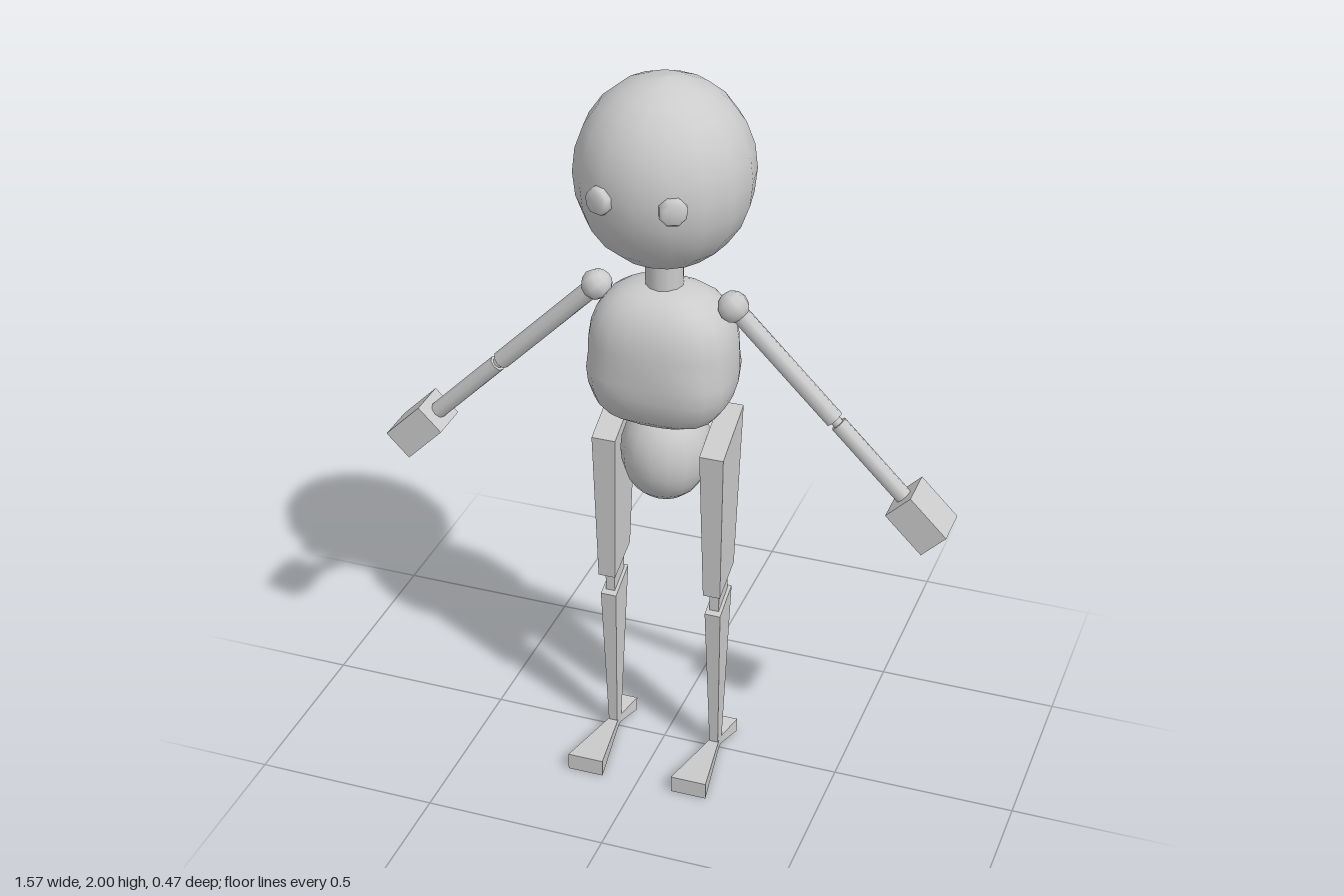
import * as THREE from 'three';

const smooth = new THREE.MeshStandardMaterial({ color: 0xcccccc });
const flat = new THREE.MeshStandardMaterial({ color: 0xcccccc, flatShading: true });

function add(parent, name, geometry, material, x = 0, y = 0, z = 0) {
  const mesh = new THREE.Mesh(geometry, material);
  mesh.name = name;
  mesh.position.set(x, y, z);
  parent.add(mesh);
  return mesh;
}

// Ellipsoid whose exponents above and below the middle set how boxy it is
function boxyBall(rx, ry, rz, pTop, pBottom, segments = 16, rings = 12) {
  const geo = new THREE.SphereGeometry(1, segments, rings);
  const pos = geo.attributes.position;
  const v = new THREE.Vector3();
  for (let i = 0; i < pos.count; i++) {
    v.fromBufferAttribute(pos, i);
    const p = v.y > 0 ? pTop : pBottom;
    const len = (Math.abs(v.x) ** p + Math.abs(v.y) ** p + Math.abs(v.z) ** p) ** (1 / p);
    v.divideScalar(len);
    pos.setXYZ(i, v.x * rx, v.y * ry, v.z * rz);
  }
  geo.computeVertexNormals();
  return geo;
}

// Four-sided loft; each section is [halfWidth, yA, zA, yB, zB]
function loft(sections) {
  const rings = sections.map(([w, ya, za, yb, zb]) =>
    [[-w, ya, za], [w, ya, za], [w, yb, zb], [-w, yb, zb]]);
  const out = [];
  const quad = (a, b, c, d) => out.push(...a, ...b, ...c, ...a, ...c, ...d);
  quad(...rings[0]);
  for (let i = 0; i < rings.length - 1; i++) {
    for (let j = 0; j < 4; j++) {
      const k = (j + 1) % 4;
      quad(rings[i][j], rings[i + 1][j], rings[i + 1][k], rings[i][k]);
    }
  }
  quad(...rings[rings.length - 1].slice().reverse());
  const geo = new THREE.BufferGeometry();
  geo.setAttribute('position', new THREE.Float32BufferAttribute(out, 3));
  geo.computeVertexNormals();
  return geo;
}

// Round limb section hanging along -y
function rod(parent, name, radius, from, to) {
  add(parent, name, new THREE.CylinderGeometry(radius, radius, to - from, 8),
    smooth, 0, -(from + to) / 2, 0);
}

function makeArm(side) {
  const arm = new THREE.Group();
  arm.name = side > 0 ? 'leftArm' : 'rightArm';
  arm.position.set(side * 0.185, 1.4, 0);
  arm.rotation.z = side * Math.PI / 4;
  add(arm, 'shoulder', new THREE.SphereGeometry(0.042, 8, 6), smooth);
  rod(arm, 'upperArm', 0.025, 0, 0.39);
  rod(arm, 'elbow', 0.015, 0.38, 0.42);
  rod(arm, 'forearm', 0.023, 0.405, 0.67);
  add(arm, 'hand', new THREE.BoxGeometry(0.09, 0.14, 0.116), flat, 0, -0.73, 0);
  return arm;
}

function makeLeg(side) {
  const leg = new THREE.Group();
  leg.name = side > 0 ? 'leftLeg' : 'rightLeg';
  leg.position.x = side * 0.15;
  // Wedge-topped thigh, thin knee, tapering shin
  add(leg, 'thigh', loft([
    [0.033, 0.975, 0.06, 1.055, -0.105],
    [0.024, 0.535, 0.047, 0.58, -0.07],
  ]), flat);
  add(leg, 'knee', loft([
    [0.013, 0.58, 0.022, 0.61, -0.05],
    [0.013, 0.45, 0.022, 0.48, -0.05],
  ]), flat);
  add(leg, 'shin', loft([
    [0.022, 0.468, 0.037, 0.51, -0.06],
    [0.012, 0.015, 0.013, 0.015, -0.02],
  ]), flat);
  // Foot: wide toe and heel pinched at the ankle
  add(leg, 'foot', loft([
    [0.05, 0, 0.23, 0.048, 0.23],
    [0.012, 0, 0, 0.025, 0],
    [0.012, 0, -0.02, 0.025, -0.02],
    [0.035, 0, -0.087, 0.04, -0.09],
  ]), flat);
  return leg;
}

export function createModel() {
  const model = new THREE.Group();
  model.name = 'figure';

  // Head, neck and body
  add(model, 'head', boxyBall(0.23, 0.25, 0.23, 2.05, 2.05), smooth, 0, 1.75, -0.003);
  add(model, 'neck', new THREE.CylinderGeometry(0.05, 0.05, 0.12, 12), smooth, 0, 1.465, 0);
  add(model, 'torso', boxyBall(0.195, 0.195, 0.15, 2.6, 3.1, 24, 16), smooth, 0, 1.245, 0.005);
  add(model, 'pelvis', boxyBall(0.12, 0.145, 0.127, 2.1, 2.1), smooth, 0, 0.945, -0.015);

  // Bevelled button eyes facing outward
  const eyeProfile = [[0, -0.02], [0.03, -0.02], [0.037, -0.01], [0.037, 0.008], [0.028, 0.02], [0, 0.02]]
    .map(([r, y]) => new THREE.Vector2(r, y));
  for (const side of [1, -1]) {
    const eye = add(model, side > 0 ? 'leftEye' : 'rightEye',
      new THREE.LatheGeometry(eyeProfile, 8), smooth, side * 0.095, 1.745, 0.207);
    eye.quaternion.setFromUnitVectors(new THREE.Vector3(0, 1, 0),
      new THREE.Vector3(side * 0.4, 0, 0.9).normalize());
    model.add(makeArm(side), makeLeg(side));
  }
  return model;
}
